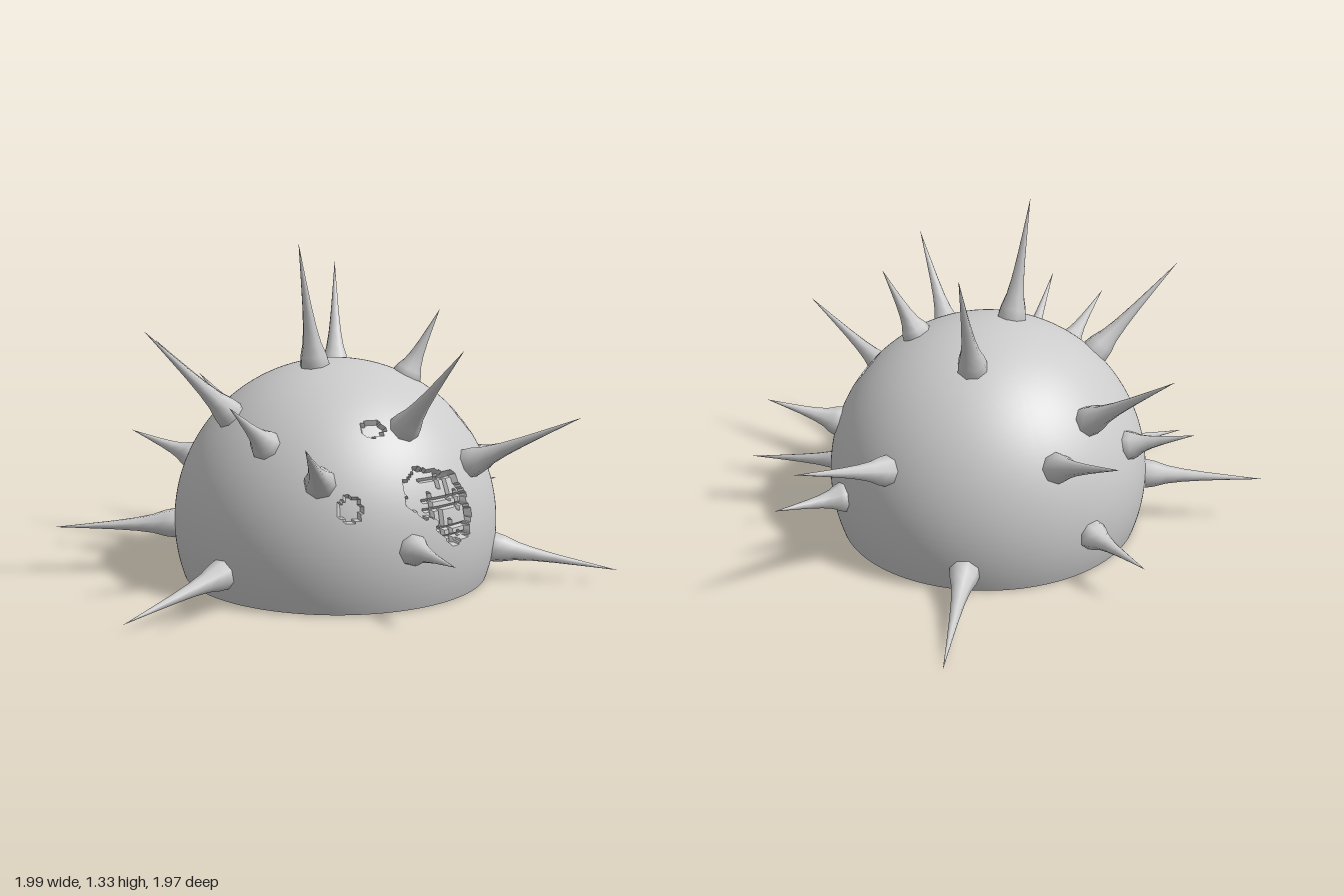
import * as THREE from 'three';
import { toCreasedNormals } from 'three/addons/utils/BufferGeometryUtils.js';

const R = 0.65;                                   // dome radius
const C = new THREE.Vector3(0.07, 0.215, 0.04);   // dome centre
const UP = new THREE.Vector3(0, 1, 0);
const material = new THREE.MeshStandardMaterial({ color: 0xcccccc });

// Spike tips (x, y, z); every spike points away from the dome centre
const TIPS = [
  [-0.13, 1.32, 0.10], [0.33, 1.21, -0.41], [0.44, 1.05, 0.22], [0.10, 0.98, 0.86],
  [-0.73, 1.01, 0.01], [-0.35, 0.87, -0.77], [-0.58, 0.77, 0.41], [-0.54, 0.70, 0.88],
  [0.59, 0.71, 0.91], [-0.55, 0.53, -0.56], [-0.05, 0.68, -0.98], [0.97, 0.61, -0.51],
  [0.91, 0.53, 0.31], [0.98, 0.25, -0.10], [-0.95, 0.20, -0.42], [-0.99, 0.04, 0.39],
  [0.92, 0.055, 0.77], [0.00, 0.25, 0.97], [0.58, 0.00, -0.95], [-0.23, 0.17, -0.84],
];

// Eroded patches on the front: x, y, half width, half height
const PATCHES = [
  [0.10, 0.44, 0.09, 0.09], [0.19, 0.41, 0.10, 0.10], [0.225, 0.335, 0.09, 0.10],
  [-0.20, 0.40, 0.042, 0.048], [-0.04, 0.665, 0.045, 0.035], [0.51, 0.62, 0.062, 0.07],
].map(([x, y, w, h]) => {
  const dx = x - C.x, dy = y - C.y;
  const n = new THREE.Vector3(dx, dy, Math.sqrt(R * R - dx * dx - dy * dy)).normalize();
  const u = new THREE.Vector3().crossVectors(UP, n).normalize();
  return { n, u, v: new THREE.Vector3().crossVectors(n, u), w, h };
});

// How far the skin sinks in at a direction: scalloped edge, grooved floor
function sink(d) {
  for (const { n, u, v, w, h } of PATCHES) {
    if (d.dot(n) < 0.8) continue;
    const a = d.dot(u) * R, b = d.dot(v) * R;
    const edge = 1 + 0.08 * Math.cos(7 * Math.atan2(b, a));
    if (Math.hypot(a / w, b / h) < edge) {
      const groove = d.x > 0.02 && (Math.sin(d.y * 110) > 0.8 || Math.sin(d.x * 90) > 0.88);
      return groove ? 0.032 : 0.02;
    }
  }
  return 0;
}

function makeDome() {
  const geo = new THREE.SphereGeometry(R, 360, 140, 0, Math.PI * 2, 0, Math.acos(-C.y / R));
  const pos = geo.attributes.position, d = new THREE.Vector3();
  for (let i = 0; i < pos.count; i++) {
    d.fromBufferAttribute(pos, i).normalize();
    const r = R - sink(d);
    pos.setXYZ(i, d.x * r, d.y * r, d.z * r);
  }
  geo.deleteAttribute('uv');
  geo.deleteAttribute('normal');
  const mesh = new THREE.Mesh(toCreasedNormals(geo, 0.5), material);
  mesh.name = 'domeShell';
  mesh.position.copy(C);
  return mesh;
}

// Flat underside closing the dome
function makeBase() {
  const mesh = new THREE.Mesh(new THREE.CircleGeometry(Math.sqrt(R * R - C.y * C.y), 72), material);
  mesh.name = 'flatBase';
  mesh.rotation.x = Math.PI / 2;
  mesh.position.set(C.x, 0, C.z);
  return mesh;
}

// Slender spike with a flared foot, growing from the dome surface
function makeSpike(tip) {
  const dir = new THREE.Vector3(...tip).sub(C);
  const length = dir.length() - R + 0.012;
  dir.normalize();
  const profile = [[0.056, -0.04], [0.06, 0], [0.053, 0.08], [0.038, 0.18], [0.027, 0.32],
    [0.018, 0.5], [0.009, 0.74], [0, 1]]
    .map(([r, t]) => new THREE.Vector2(r, t * length));
  const mesh = new THREE.Mesh(new THREE.LatheGeometry(profile, 8), material);
  mesh.name = 'spike';
  mesh.position.copy(C).addScaledVector(dir, R);
  mesh.quaternion.setFromUnitVectors(UP, dir);
  return mesh;
}

export function createModel() {
  const model = new THREE.Group();
  model.name = 'spikedDome';
  const spikes = new THREE.Group();
  spikes.name = 'spikes';
  TIPS.forEach((tip) => spikes.add(makeSpike(tip)));
  model.add(makeDome(), makeBase(), spikes);
  return model;
}
